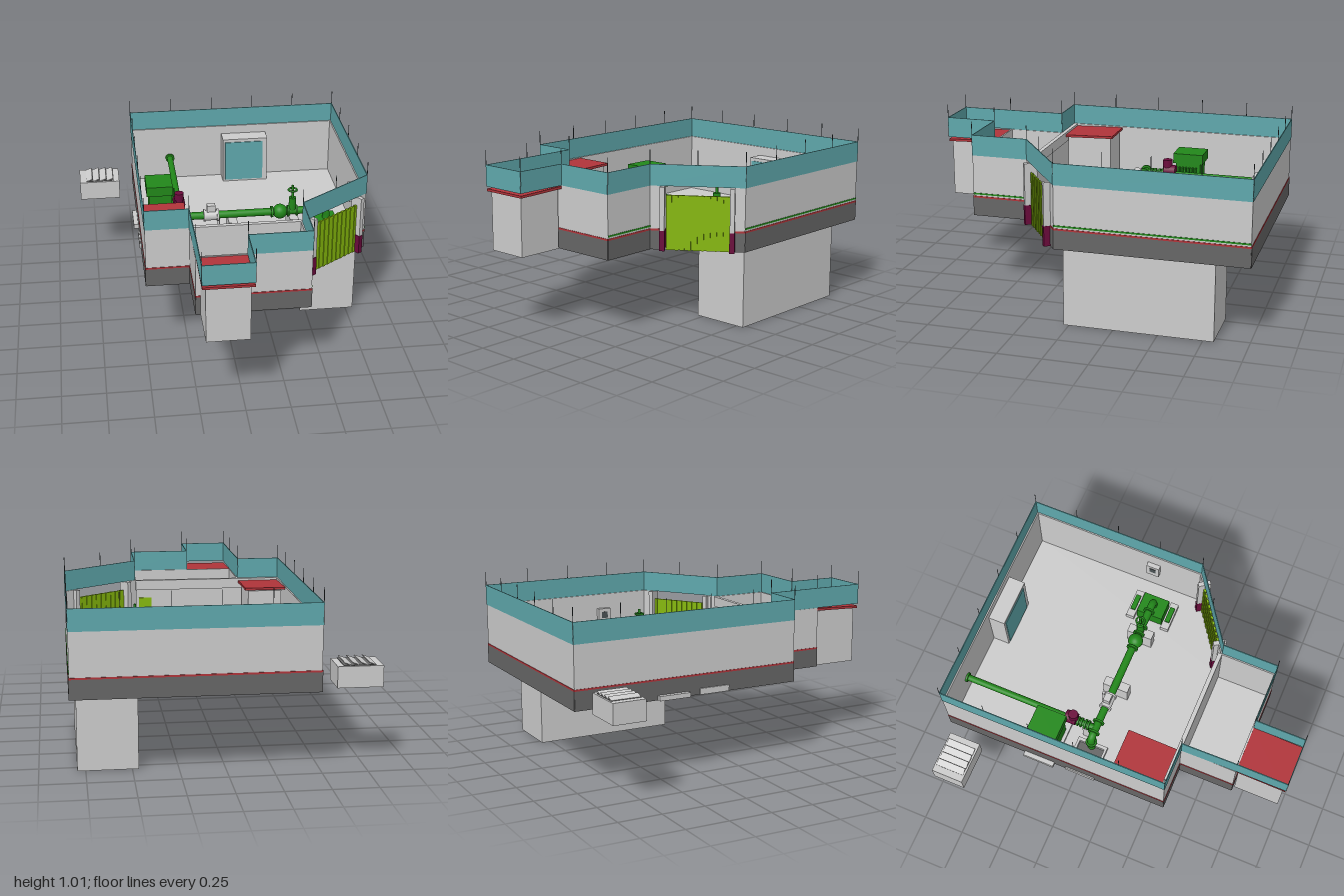
import * as THREE from 'three';

const mat = (name, color, side = THREE.FrontSide) => {
  const m = new THREE.MeshStandardMaterial({ color, side });
  m.name = name;
  return m;
};

export function createModel() {
  const root = new THREE.Group();
  root.name = 'pumpHouse';
  const concrete = mat('concrete grey', 0xcccccc);
  const plinth = mat('plinth grey', 0x666666);
  const teal = mat('teal', 0x5fa8ac);
  const red = mat('roof red', 0xb0343a);
  const lime = mat('door lime', 0x86b80c);
  const green = mat('pipe green', 0x22881a);
  const maroon = mat('maroon', 0x6b0a3c);
  const steel = mat('dark steel', 0x4a5254);

  const add = (name, geo, m, x, y, z, parent = root) => {
    const mesh = new THREE.Mesh(geo, m);
    mesh.name = name;
    mesh.position.set(x, y, z);
    parent.add(mesh);
    return mesh;
  };
  // box given by its extents
  const box = (name, m, x0, x1, y0, y1, z0, z1, parent) =>
    add(name, new THREE.BoxGeometry(x1 - x0, y1 - y0, z1 - z0), m,
      (x0 + x1) / 2, (y0 + y1) / 2, (z0 + z1) / 2, parent);
  // upright panel from a to b; off moves its centre line outward
  const panel = (name, m, a, b, y0, y1, t, off = 0) => {
    const dx = b[0] - a[0], dz = b[1] - a[1], L = Math.hypot(dx, dz);
    const p = add(name, new THREE.BoxGeometry(L, y1 - y0, t), m,
      (a[0] + b[0]) / 2 + dz / L * off, (y0 + y1) / 2, (a[1] + b[1]) / 2 - dx / L * off);
    p.rotation.y = Math.atan2(-dz, dx);
    return p;
  };
  // cylinder along an axis, centred at x, y, z
  const cyl = (name, m, axis, r, len, x, y, z, sides = 20) => {
    const c = add(name, new THREE.CylinderGeometry(r, r, len, sides), m, x, y, z);
    if (axis === 'x') c.rotation.z = Math.PI / 2;
    if (axis === 'z') c.rotation.x = Math.PI / 2;
    return c;
  };

  // floor slabs and the pit below
  const F = 0.45;
  const floor = new THREE.Shape([[-0.49, 1], [0.83, 1], [0.83, -0.07], [0.4, -0.37], [0.4, -0.7],
    [-0.24, -0.7], [-0.24, -0.37], [-0.49, -0.37]].map(p => new THREE.Vector2(...p)));
  add('floor', new THREE.ExtrudeGeometry(floor, { depth: 0.008, bevelEnabled: false }), concrete, 0, F, 0)
    .rotation.x = -Math.PI / 2;
  box('pit', concrete, 0.465, 0.795, 0, F, -0.81, 0.03);

  // outer walls with plinth and painted stripes
  const on = t => [0.4 + 0.43 * t, 0.37 - 0.3 * t]; // point on the chamfered corner
  const walls = [
    [[-0.49, 0.37], [-0.49, -1]], [[-0.49, -1], [0.83, -1]], [[0.83, -1], [0.83, 0.07]],
    [[0.83, 0.07], on(0.87)], [on(0.13), [0.4, 0.37]], [[0.4, 0.37], [0.4, 0.7]],
    [[0.4, 0.7], [-0.24, 0.7]], [[-0.24, 0.7], [-0.24, 0.37]], [[-0.24, 0.37], [-0.49, 0.37]],
  ];
  walls.forEach(([a, b]) => {
    panel('wall', concrete, a, b, F, 0.81, 0.01, -0.005);
    panel('plinth', plinth, a, b, F, 0.558, 0.003, 0.0015);
    panel('redStripe', red, a, b, 0.558, 0.568, 0.003, 0.0015);
  });
  [walls[2], walls[5]].forEach(([a, b]) => panel('greenStripe', green, a, b, 0.577, 0.586, 0.003, 0.0015));

  // teal parapet and its thin posts
  const rim = [[-0.49, 0.37], [-0.49, -1], [0.83, -1], [0.83, 0.07], [0.4, 0.37], [0.4, 0.7],
    [0.045, 0.7], [0.045, 0.997], [-0.235, 0.997], [-0.235, 0.7], [-0.24, 0.37]];
  rim.forEach((a, i) => {
    const b = rim[(i + 1) % rim.length];
    panel('parapet', teal, a, b, 0.81, 0.93, 0.005);
    const n = Math.max(1, Math.round(Math.hypot(b[0] - a[0], b[1] - a[1]) / 0.26));
    for (let k = 0; k < n; k++) {
      const f = k / n;
      cyl('parapetPost', steel, 'y', 0.002, 0.2, a[0] + (b[0] - a[0]) * f, 0.91, a[1] + (b[1] - a[1]) * f, 6);
    }
  });

  // ribbed gate between jambs on the chamfered corner
  panel('gate', lime, on(0.86), on(0.17), F, 0.76, 0.006);
  for (let i = 0; i < 10; i++) {
    const t = 0.2 + i * 0.068;
    panel('gateRib', lime, on(t + 0.03), on(t), F, 0.76, 0.014);
  }
  [0.135, 0.87].forEach(t => {
    panel('jamb', concrete, on(t + 0.025), on(t - 0.025), 0.565, 0.81, 0.075);
    panel('jambFoot', maroon, on(t + 0.027), on(t - 0.027), F, 0.565, 0.077);
  });

  // partition with beam and inner door
  box('partition', concrete, -0.24, 0.39, F, 0.75, 0.36, 0.37);
  box('beam', concrete, -0.485, 0.395, 0.75, 0.81, 0.345, 0.37);
  box('innerDoor', lime, 0.3, 0.375, F, 0.7, 0.355, 0.36);

  // open-bottomed entrance booths with tilted roofs
  const booth = (x0, x1, z0, z1) => {
    const g = new THREE.Group();
    g.name = 'entranceBooth';
    root.add(g);
    [x0, x1 - 0.006].forEach(x => box('boothSide', concrete, x, x + 0.006, F, 0.785, z0, z1, g));
    [z0, z1 - 0.006].forEach(z => box('boothEnd', concrete, x0, x1, F, 0.785, z, z + 0.006, g));
    box('boothCeiling', concrete, x0, x1, 0.779, 0.785, z0, z1, g);
    const roof = box('boothRoof', red, x0 - 0.02, x1 + 0.02, 0.787, 0.801, z0 - 0.015, z1 + 0.015, g);
    roof.rotation.x = 0.03;
  };
  booth(-0.215, 0.025, 0.71, 0.98);
  booth(-0.46, -0.26, 0.065, 0.335);

  // wall cabinet and switch box
  box('cabinet', concrete, 0.1, 0.39, F, 0.755, -0.99, -0.89);
  box('cabinetDoor', teal, 0.115, 0.36, 0.47, 0.735, -0.89, -0.885);
  box('switchBox', concrete, 0.793, 0.822, 0.62, 0.72, -0.27, -0.19);
  box('switchPanel', steel, 0.79, 0.793, 0.66, 0.7, -0.25, -0.21);

  // outdoor vent with slanted louvres
  box('ventBase', concrete, -0.835, -0.585, F, 0.568, -0.94, -0.75);
  box('ventOpening', plinth, -0.795, -0.62, 0.568, 0.571, -0.93, -0.76);
  for (let i = 0; i < 4; i++) {
    const s = box('louvre', concrete, -0.795 + i * 0.044, -0.755 + i * 0.044, 0.575, 0.579, -0.93, -0.76);
    s.rotation.z = 0.35;
  }

  // sump hatch: curb around a dark opening
  box('hatchOpening', plinth, -0.48, -0.31, F, 0.462, -0.235, -0.08);
  [-0.5, -0.31].forEach(x => box('hatchCurb', concrete, x, x + 0.02, F, 0.485, -0.25, -0.065));
  [-0.25, -0.08].forEach(z => box('hatchCurb', concrete, -0.5, -0.29, F, 0.485, z, z + 0.015));

  // motor set on its pad
  box('motorPad', concrete, -0.52, -0.19, F, 0.477, -0.51, -0.32);
  box('motorBody', green, -0.42, -0.28, 0.477, 0.66, -0.49, -0.34);
  box('motorHood', green, -0.435, -0.275, 0.66, 0.72, -0.505, -0.325);
  for (let i = 0; i < 6; i++) box('coolingFin', green, -0.28, -0.255, 0.57, 0.64, -0.47 + i * 0.02, -0.462 + i * 0.02);
  cyl('pumpCasing', maroon, 'z', 0.036, 0.07, -0.24, 0.62, -0.315);
  cyl('pumpHead', maroon, 'y', 0.028, 0.1, -0.24, 0.64, -0.3);

  // pipework with flanges
  const P = 0.6, Z = -0.16;
  const path = pts => {
    const c = new THREE.CurvePath();
    const v = pts.map(p => new THREE.Vector3(...p));
    c.add(new THREE.LineCurve3(v[0], v[1]));
    c.add(new THREE.QuadraticBezierCurve3(v[1], v[2], v[3]));
    c.add(new THREE.LineCurve3(v[3], v[4]));
    c.add(new THREE.QuadraticBezierCurve3(v[4], v[5], v[6]));
    c.add(new THREE.LineCurve3(v[6], v[7]));
    return c;
  };
  const main = path([[-0.31, 0.46, Z], [-0.31, 0.56, Z], [-0.31, P, Z], [-0.27, P, Z],
    [0.6, P, Z], [0.645, P, Z], [0.645, 0.555, Z], [0.645, 0.46, Z]]);
  add('mainPipe', new THREE.TubeGeometry(main, 160, 0.023, 16), green, 0, 0, 0);
  cyl('outletPipe', green, 'z', 0.019, 0.83, -0.24, P, -0.575);
  [-0.985, -0.27, -0.25, -0.225, -0.205].forEach(z => cyl('flange', green, 'z', 0.029, 0.012, -0.24, P, z));
  [-0.27, -0.2, 0.31, 0.41, 0.46, 0.57].forEach(x => cyl('flange', green, 'x', 0.035, 0.012, x, P, Z));
  cyl('sumpFlange', green, 'y', 0.034, 0.012, -0.31, 0.54, Z);

  // valves
  add('checkValve', new THREE.SphereGeometry(0.045, 20, 14), green, 0.36, P, Z);
  cyl('valveBonnet', green, 'y', 0.022, 0.1, 0.435, 0.64, Z);
  cyl('valveStem', green, 'y', 0.008, 0.12, 0.435, 0.71, Z);
  const wheel = add('handwheel', new THREE.TorusGeometry(0.025, 0.006, 8, 20), green, 0.435, 0.74, Z);
  wheel.rotation.x = Math.PI / 2;
  cyl('flowMeter', concrete, 'x', 0.032, 0.07, -0.06, P, Z);
  [-0.1, -0.02].forEach(x => cyl('meterFlange', concrete, 'x', 0.038, 0.012, x, P, Z));
  box('meterHead', concrete, -0.085, -0.035, 0.63, 0.67, -0.18, -0.14);
  cyl('drainTube', concrete, 'y', 0.009, 0.21, -0.01, 0.465, -0.21, 12);

  // pipe supports reaching through the floor
  [[-0.265, -0.235, -0.17], [0.04, -0.235, -0.08], [0.41, -0.235, -0.08]].forEach(([x, z0, z1]) =>
    box('pipeSupport', concrete, x, x + 0.053, 0.425, 0.58, z0, z1));

  // pit pump head between two beams
  box('pitPump', green, 0.575, 0.705, F, 0.54, -0.24, -0.08);
  [-0.3, -0.075].forEach(z => {
    box('pitBeam', concrete, 0.545, 0.725, F, 0.49, z, z + 0.05);
    box('beamStrap', green, 0.59, 0.69, F, 0.5, z + 0.01, z + 0.04);
  });
  return root;
}
